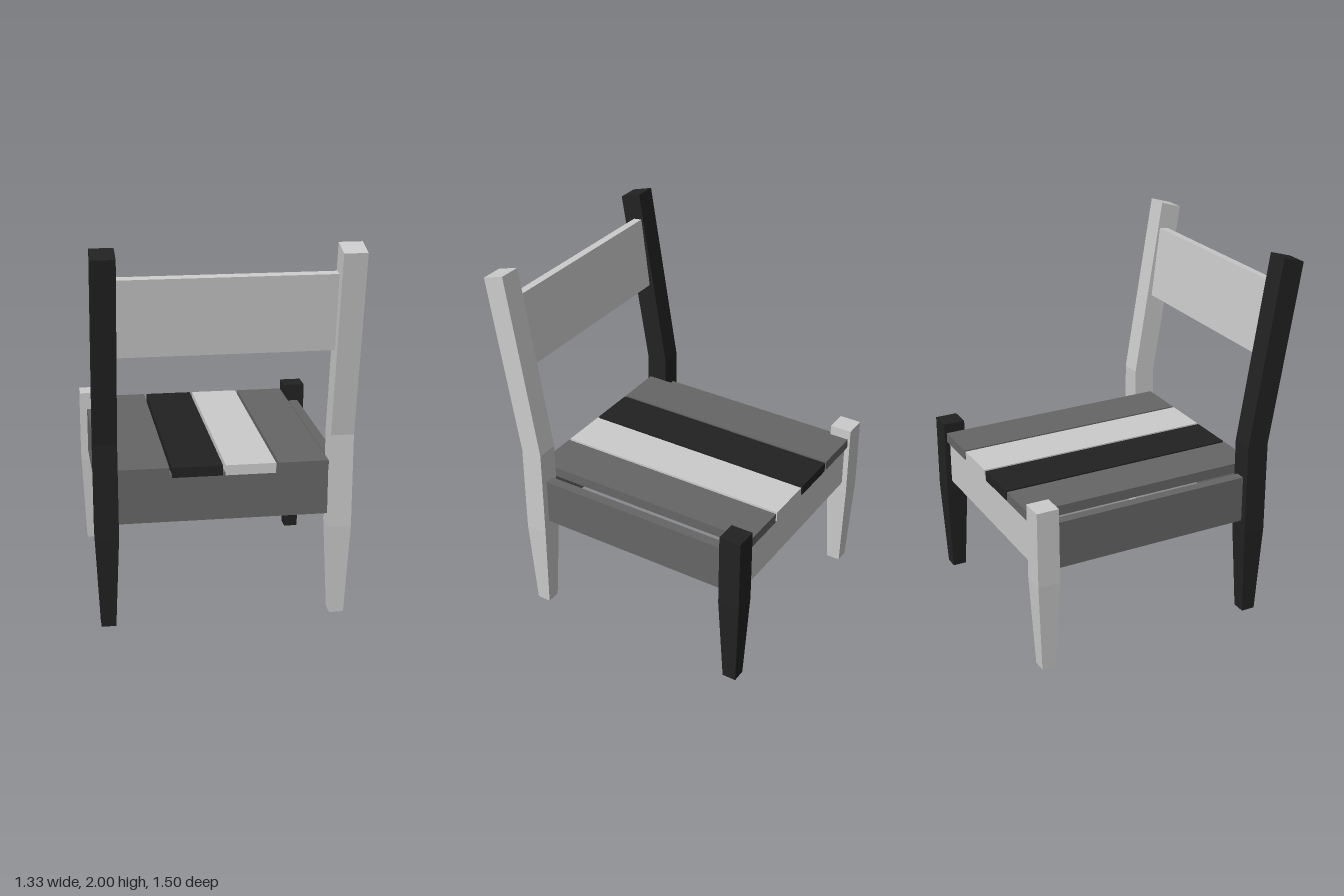
import * as THREE from 'three';

const paint = (color) => new THREE.MeshStandardMaterial({ color, flatShading: true });

export function createModel() {
  const chair = new THREE.Group();
  chair.name = 'chair';
  const grey = paint(0xcccccc), dark = paint(0x666666), black = paint(0x222222);

  function add(name, geometry, material) {
    const mesh = new THREE.Mesh(geometry, material);
    mesh.name = name;
    chair.add(mesh);
    return mesh;
  }

  // Box given by its lower and upper corners
  function board(name, material, [x0, y0, z0], [x1, y1, z1]) {
    const mesh = add(name, new THREE.BoxGeometry(x1 - x0, y1 - y0, z1 - z0), material);
    mesh.position.set((x0 + x1) / 2, (y0 + y1) / 2, (z0 + z1) / 2);
    return mesh;
  }

  // Square post bent through levels: [half width, z back, y back, z front, y front], bottom to top
  function post(name, material, x, levels) {
    const n = levels.length - 1;
    const geometry = new THREE.BoxGeometry(1, 1, 1, 1, n, 1);
    const p = geometry.attributes.position;
    for (let i = 0; i < p.count; i++) {
      const [half, zb, yb, zf, yf] = levels[Math.round((p.getY(i) + 0.5) * n)];
      const front = p.getZ(i) > 0;
      p.setXYZ(i, x + Math.sign(p.getX(i)) * half, front ? yf : yb, front ? zf : zb);
    }
    geometry.computeVertexNormals();
    add(name, geometry, material);
  }

  // Posts: the tall pair leans outward above the seat, all taper to the foot
  const tall = [
    [0.038, 0.488, 0, 0.564, 0],
    [0.06, 0.466, 0.5, 0.586, 0.5],
    [0.06, 0.466, 1, 0.586, 1],
    [0.06, 0.63, 2, 0.748, 1.965],
  ];
  const short = [
    [0.038, -0.726, 0, -0.65, 0],
    [0.06, -0.748, 0.5, -0.628, 0.5],
    [0.06, -0.748, 0.912, -0.628, 0.912],
  ];
  post('tallPostLeft', grey, 0.604, tall);
  post('tallPostRight', black, -0.604, tall);
  post('shortPostLeft', black, 0.604, short);
  post('shortPostRight', grey, -0.604, short);

  // Rails under the seat
  board('frontRail', dark, [-0.545, 0.56, 0.494], [0.545, 0.815, 0.548]);
  board('backRail', grey, [-0.545, 0.56, -0.718], [0.545, 0.815, -0.664]);
  for (const s of [-1, 1]) {
    board(s > 0 ? 'sideRailLeft' : 'sideRailRight', dark,
      [s * 0.6 - 0.027, 0.56, -0.63], [s * 0.6 + 0.027, 0.815, 0.468]);
  }

  // Seat slats
  [dark, black, grey, dark].forEach((material, i) => {
    const x = (i - 1.5) * 0.274;
    board('seatSlat' + (i + 1), material, [x - 0.13, 0.805, -0.736], [x + 0.13, 0.859, 0.568]);
  });

  // Backrest board, tilted with the posts
  const backrest = add('backrest', new THREE.BoxGeometry(1.09, 0.397, 0.05), grey);
  backrest.position.set(0, 1.656, 0.618);
  backrest.rotation.x = 0.124;

  return chair;
}
